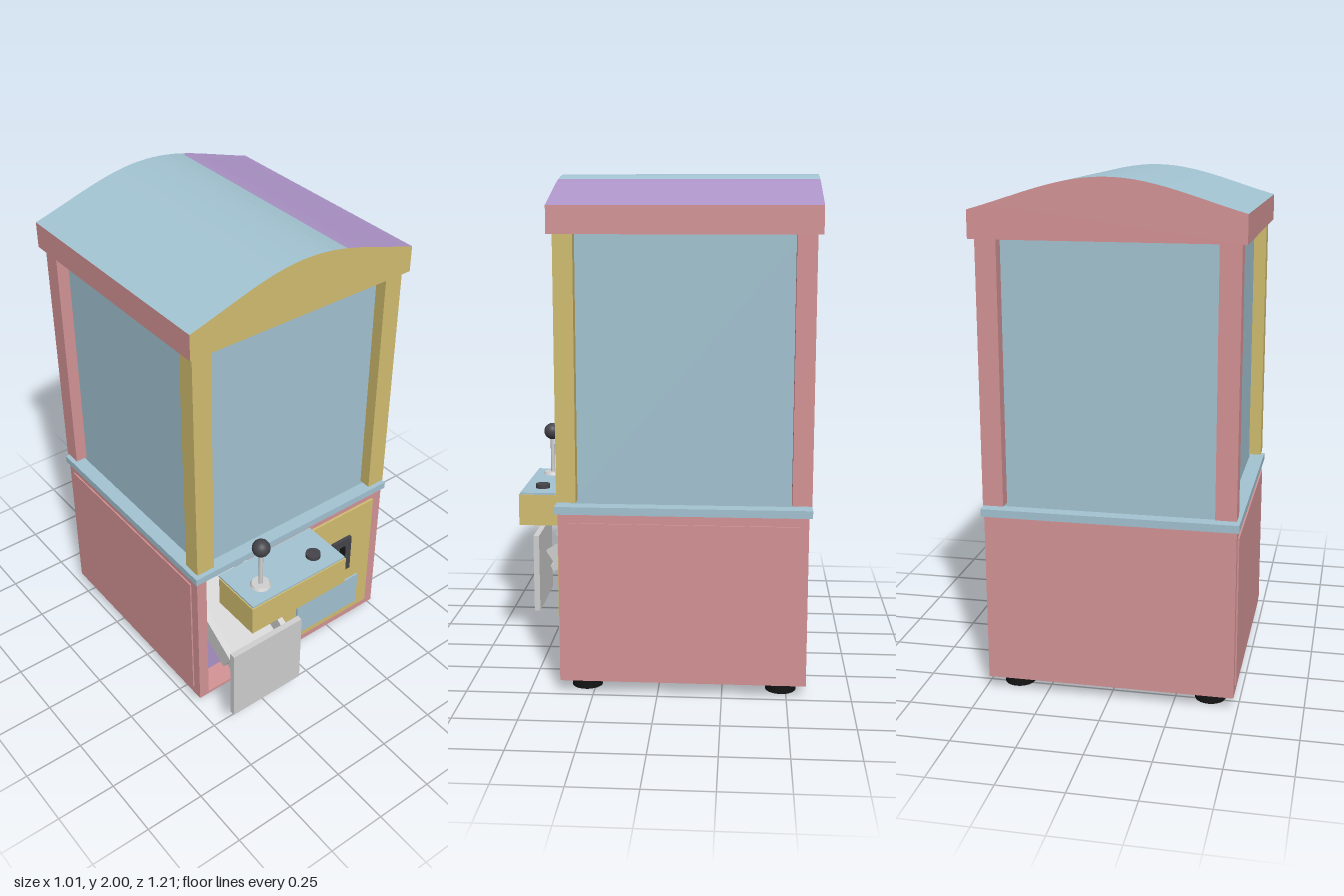
import * as THREE from 'three';

const mat = (name, color) => new THREE.MeshStandardMaterial({ name, color });

export function createModel() {
  const blue = mat('pale blue', 0xa3c4d2);
  const yellow = mat('mustard', 0xd2be70);
  const pink = mat('dusty pink', 0xd59496);
  const purple = mat('lilac', 0xad94c8);
  const grey = mat('light grey', 0xd0d0d0);
  const dark = mat('charcoal', 0x45444a);
  const black = mat('black', 0x141414);

  const model = new THREE.Group();
  model.name = 'clawMachine';

  const add = (name, geometry, material, parent = model) => {
    const mesh = new THREE.Mesh(geometry, material);
    mesh.name = name;
    parent.add(mesh);
    return mesh;
  };
  // Box given by its limits on each axis
  const box = (name, material, [x0, x1], [y0, y1], [z0, z1], parent) => {
    const m = add(name, new THREE.BoxGeometry(x1 - x0, y1 - y0, z1 - z0), material, parent);
    m.position.set((x0 + x1) / 2, (y0 + y1) / 2, (z0 + z1) / 2);
    return m;
  };
  const cylinder = (name, material, rTop, rBottom, y0, y1, x, z) => {
    const m = add(name, new THREE.CylinderGeometry(rTop, rBottom, y1 - y0, 32), material);
    m.position.set(x, (y0 + y1) / 2, z);
    return m;
  };
  const points = (list) => list.map(([x, y]) => new THREE.Vector2(x, y));
  const slab = (name, shape, material, z0, z1) => {
    const m = add(name, new THREE.ExtrudeGeometry(shape, { depth: z1 - z0, bevelEnabled: false }), material);
    m.position.z = z0;
    return m;
  };

  // Feet
  for (const x of [-0.385, 0.385]) {
    for (const z of [0.285, -0.48]) {
      cylinder('foot', black, 0.06, 0.06, 0, 0.04, x, z);
      cylinder('footStem', black, 0.052, 0.052, 0.04, 0.052, x, z);
    }
  }

  // Hollow cabinet base with an opening in the front wall
  box('cabinetFloor', pink, [-0.485, 0.485], [0.05, 0.062], [-0.575, 0.38]);
  box('cabinetBack', pink, [-0.485, 0.485], [0.062, 0.72], [-0.575, -0.555]);
  for (const s of [-1, 1]) {
    box('cabinetSide', pink, [s * 0.475 - 0.01, s * 0.475 + 0.01], [0.062, 0.72], [-0.555, 0.36]);
    box('sidePanel', pink, [s * 0.487 - 0.004, s * 0.487 + 0.004], [0.09, 0.685], [-0.54, 0.34]);
  }
  const wall = new THREE.Shape(points([[-0.485, 0.062], [0.485, 0.062], [0.485, 0.72], [-0.485, 0.72]]));
  wall.holes.push(new THREE.Path(points([
    [-0.44, 0.063], [-0.44, 0.719], [-0.14, 0.719], [-0.14, 0.38],
    [-0.09, 0.38], [-0.09, 0.17], [-0.14, 0.17], [-0.14, 0.063],
  ])));
  slab('cabinetFront', wall, pink, 0.36, 0.38);

  // Notched front panel
  slab('frontPanel', new THREE.Shape(points([
    [-0.14, 0.09], [0.435, 0.09], [0.435, 0.685], [-0.14, 0.685],
    [-0.14, 0.38], [-0.09, 0.38], [-0.09, 0.17], [-0.14, 0.17],
  ])), yellow, 0.38, 0.39);
  box('prizeDoorLiner', purple, [-0.43, -0.085], [0.17, 0.385], [0.345, 0.355]);
  box('infoPlate', blue, [0.025, 0.37], [0.125, 0.29], [0.39, 0.398]);
  box('coinPlate', dark, [0.21, 0.31], [0.37, 0.55], [0.39, 0.405]);
  box('coinSlot', black, [0.245, 0.273], [0.42, 0.515], [0.405, 0.411]);

  // Sloping prize chute: the group origin is the upper front edge of the rails
  const chute = new THREE.Group();
  chute.name = 'prizeChute';
  chute.position.set(0, 0.386, 0.534);
  chute.rotation.x = 0.56;
  model.add(chute);
  box('chuteRail', grey, [-0.44, -0.412], [-0.088, 0], [-0.53, 0], chute);
  box('chuteRail', grey, [-0.165, -0.14], [-0.088, 0], [-0.36, 0], chute);
  const tray = box('chuteTray', grey, [-0.415, -0.16], [-0.028, 0], [-0.56, 0]);
  tray.geometry.translate(0, -0.014, -0.28);
  tray.position.set(-0.2875, 0.312, 0.519);
  tray.rotation.x = 0.464;
  box('prizeFlap', grey, [-0.46, -0.115], [0.12, 0.46], [0.56, 0.585]);

  // Control console with joystick and button
  box('console', yellow, [-0.385, 0.09], [0.565, 0.695], [0.39, 0.605]);
  box('consoleTop', blue, [-0.38, 0.087], [0.695, 0.703], [0.38, 0.6]);
  cylinder('joystickBase', grey, 0.036, 0.042, 0.703, 0.714, -0.28, 0.52);
  cylinder('joystickShaft', grey, 0.009, 0.009, 0.71, 0.87, -0.28, 0.52);
  add('joystickKnob', new THREE.SphereGeometry(0.036, 32, 20), dark).position.set(-0.28, 0.895, 0.52);
  cylinder('button', dark, 0.03, 0.03, 0.703, 0.72, -0.012, 0.52);

  // Trim and glass case
  box('trim', blue, [-0.495, 0.495], [0.72, 0.75], [-0.588, 0.392]);
  box('glassCase', blue, [-0.435, 0.435], [0.75, 1.775], [-0.535, 0.335]);
  for (const x of [-0.445, 0.445]) {
    box('frontPost', yellow, [x - 0.04, x + 0.04], [0.765, 1.776], [0.31, 0.385]);
    box('backPost', pink, [x - 0.04, x + 0.04], [0.765, 1.776], [-0.585, -0.51]);
  }

  // Arched roof, coloured by the direction each face looks
  const w = 0.505, steps = 28;
  const outline = [[-w, 1.775], [w, 1.775]];
  for (let i = 0; i <= steps; i++) {
    const t = 1 - (2 * i) / steps;
    outline.push([w * t, 2 - 0.12 * (0.6 * t * t + 0.2 * (1 - Math.cos(Math.PI * t)))]);
  }
  const roofGeo = new THREE.ExtrudeGeometry(new THREE.Shape(points(outline)), { depth: 1.01, bevelEnabled: false });
  roofGeo.clearGroups();
  const pos = roofGeo.attributes.position, nor = roofGeo.attributes.normal;
  for (let i = 0; i < pos.count; i += 3) {
    const midX = (pos.getX(i) + pos.getX(i + 1) + pos.getX(i + 2)) / 3;
    let colour = 0;
    if (nor.getZ(i) > 0.5) colour = 1;
    else if (nor.getY(i) > 0.3) colour = midX > 0.18 ? 3 : 2;
    roofGeo.addGroup(i, 3, colour);
  }
  add('roof', roofGeo, [pink, yellow, blue, purple]).position.z = -0.605;

  return model;
}
